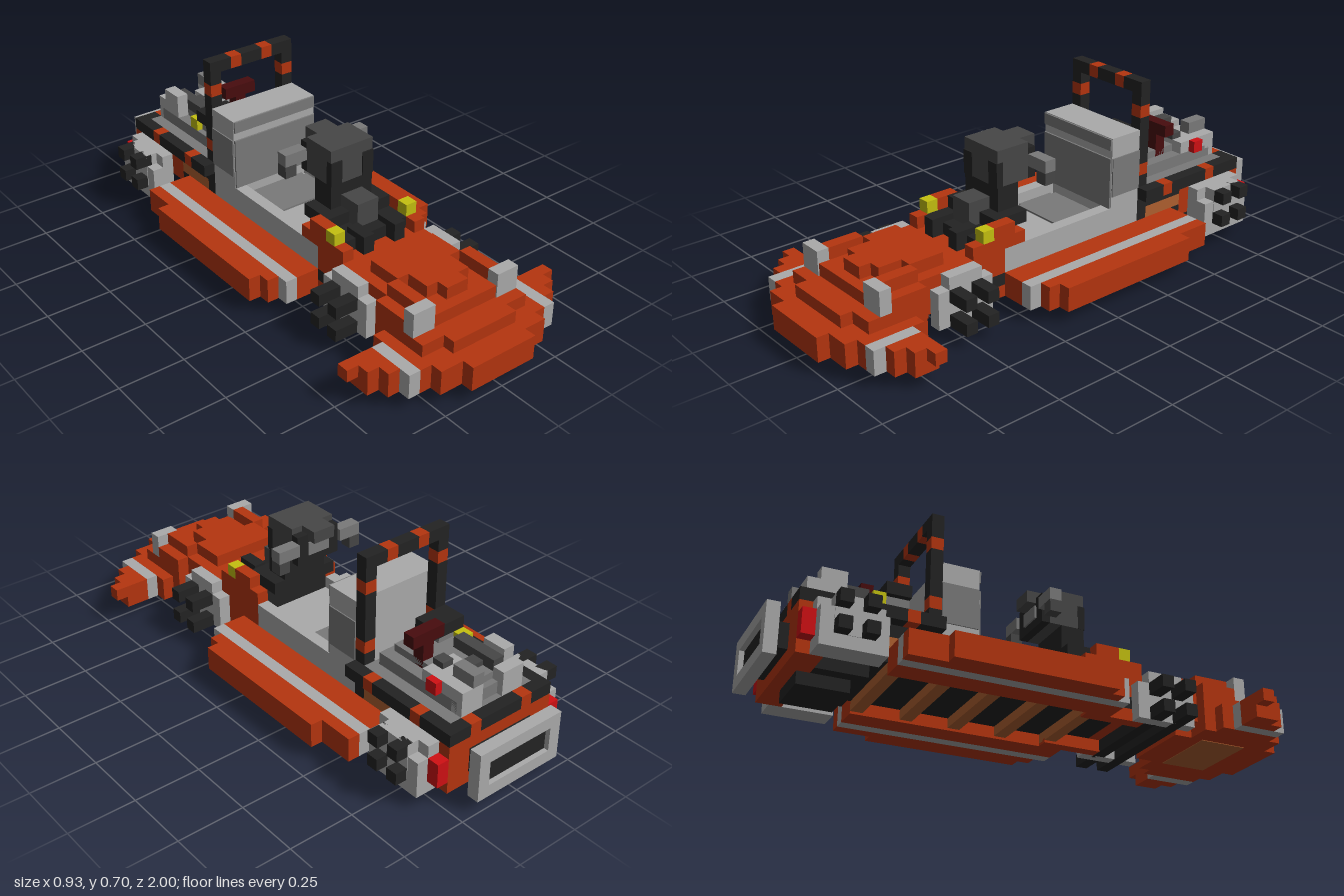
import * as THREE from 'three';

// One block is U wide. Coordinates are in blocks: x from the centre,
// y from the ground, k from the rear end (0) to the nose (43).
const U = 2 / 43;
const colours = {
  orange: 0xb5350f, lightGrey: 0xababab, midGrey: 0x7a7a7a, darkGrey: 0x474747,
  black: 0x232323, yellow: 0xc4c010, red: 0xd01014, darkRed: 0x480c0e, copper: 0xb06030,
};

export function createModel() {
  const model = new THREE.Group();
  model.name = 'hoverBuggy';
  const mats = {};
  for (const [name, color] of Object.entries(colours)) {
    mats[name] = new THREE.MeshStandardMaterial({ color });
    mats[name].name = name;
  }
  const box = (name, mat, x0, x1, y0, y1, k0, k1) => {
    const g = new THREE.BoxGeometry((x1 - x0) * U, (y1 - y0) * U, (k1 - k0) * U);
    const m = new THREE.Mesh(g, mats[mat]);
    m.name = name;
    m.position.set((x0 + x1) / 2 * U, (y0 + y1) / 2 * U, ((k0 + k1) / 2 - 21.5) * U);
    model.add(m);
  };
  // box centred on x = 0
  const mid = (name, mat, w, ...r) => box(name, mat, -w, w, ...r);
  // mirrored pair of boxes
  const pair = (name, mat, x0, x1, ...r) => {
    box(name + 'Left', mat, x0, x1, ...r);
    box(name + 'Right', mat, -x1, -x0, ...r);
  };

  // side pontoons with a grey stripe
  pair('pontoonInner', 'orange', 4, 6, 1, 3, 9, 27);
  pair('pontoonStripe', 'lightGrey', 6, 7, 1, 3, 9, 27);
  pair('pontoonOuter', 'orange', 7, 8, 1, 3, 9, 26);
  pair('pontoonEdge', 'orange', 8, 9, 1, 3, 12, 25);

  // underfloor with cross beams
  mid('underfloor', 'black', 4, 2, 3, 8, 29);
  for (let k = 9; k < 27; k += 4) mid('crossBeam', 'copper', 4, 1.2, 2, k, k + 1);

  // cockpit tub and seat
  mid('cockpitFloor', 'lightGrey', 3, 3, 4, 13, 25);
  pair('cockpitWall', 'lightGrey', 3, 4, 3, 5, 13, 27);
  mid('seatCushion', 'midGrey', 2.7, 4, 4.15, 16, 20);
  mid('seatCushionSides', 'midGrey', 3, 4, 4.1, 16.3, 19.7);
  mid('seatBack', 'lightGrey', 4, 4, 11, 13, 16);
  mid('seatPanelLower', 'midGrey', 3.95, 5, 9.3, 16, 16.15);
  mid('seatPanelUpper', 'midGrey', 3.95, 10, 10.95, 16, 16.15);
  pair('seatSidePanel', 'midGrey', 4, 4.1, 6, 9.3, 13, 15.95);

  // cowl, dashboard and steering console
  pair('cowlSide', 'orange', 3, 4, 1, 6, 25, 30);
  pair('cowlTop', 'orange', 3, 4, 6, 7, 26, 28);
  pair('markerLight', 'yellow', 3, 4, 6, 7, 28, 29);
  mid('dashboard', 'black', 3, 3, 6, 25, 29);
  mid('dashboardTop', 'black', 3, 6, 7, 24, 27);
  pair('dashboardLeg', 'black', 1, 2, 5, 6.5, 28, 30);
  mid('columnFront', 'darkGrey', 1, 6, 8, 26, 28);
  mid('column', 'black', 2, 7, 9, 24, 26);
  mid('console', 'darkGrey', 2, 9, 12, 23, 26);
  pair('consolePanel', 'black', 1, 2.02, 9, 11, 25.5, 26.1);
  mid('consoleBack', 'black', 2, 9, 11.5, 22.3, 23);
  mid('consoleScreen', 'midGrey', 1, 9.7, 10.8, 22.15, 22.3);
  mid('consoleHood', 'darkGrey', 1, 11, 12, 21.5, 23);
  pair('gripBar', 'midGrey', 2, 4, 10, 11, 22, 23);
  pair('gripEnd', 'darkGrey', 3, 4, 9, 10, 22, 23);

  // front hull and stepped hood
  mid('frontHull', 'orange', 4, 2, 5, 29, 36);
  mid('frontHullBase', 'orange', 3, 1, 2, 33.5, 36);
  mid('hoodMiddle', 'orange', 3, 4, 5, 35, 38.9);
  mid('hoodTop', 'orange', 3, 5, 6, 32, 35);
  mid('hoodStep', 'orange', 2, 5, 6, 35, 37);
  mid('hoodTip', 'orange', 1, 5, 6, 37, 38);
  mid('noseDeck', 'orange', 5, 3, 4, 35, 40);
  mid('noseDeckTip', 'orange', 3, 3, 4, 40, 41);
  pair('fender', 'orange', 3, 5, 4, 5, 35, 38);
  pair('fenderTop', 'orange', 3, 4, 5, 6, 35, 38);
  pair('headlight', 'lightGrey', 3, 5, 4, 6, 38, 39);

  // nose blade, swept back row by row
  [[35, 5], [36, 6], [37, 6], [38, 6], [39, 6], [40, 6], [41, 5], [42, 3]].forEach(([k, w]) =>
    mid('noseRow', 'orange', w, 1, 3, k, k + 1));
  pair('wingStripe', 'lightGrey', 6, 7, 1, 3, 37, 41);
  [[37, 9], [38, 9], [39, 8]].forEach(([k, w]) => pair('wingRow', 'orange', 7, w, 1, 3, k, k + 1));
  pair('wingTip', 'orange', 9, 10, 2, 3, 37, 38);
  mid('nosePlate', 'copper', 3, 0.95, 1, 36, 40);

  // front hubs with axle bars
  pair('frontHub', 'lightGrey', 4, 5, 1, 4, 29, 34);
  pair('frontHubTop', 'lightGrey', 4, 5, 4, 5, 30, 33);
  for (const k of [30, 32]) for (const y of [1, 3]) mid('frontAxle', 'black', 7, y, y + 1, k, k + 1);

  // rear body
  mid('rearBody', 'orange', 4, 2, 5, 2, 8);
  mid('rearPanel', 'orange', 5, 1, 5, 2, 4);
  mid('engineBay', 'copper', 4, 3, 4, 8, 12);
  mid('engineBayTop', 'black', 4, 4, 5, 8, 13);
  mid('skid', 'black', 2, 0, 1, 3, 7);
  mid('skidMount', 'black', 3, 1, 2, 4, 8);
  pair('tailLight', 'red', 5, 6, 2, 4, 2, 3);

  // rear hubs with lugs
  pair('rearHub', 'lightGrey', 5, 6, 1, 5, 3, 8);
  pair('rearHubFace', 'lightGrey', 6, 7, 2, 5, 4, 7);
  pair('rearHubRim', 'lightGrey', 6, 6.95, 1, 4, 3, 8);
  for (const k of [4, 6]) for (const y of [2, 4]) pair('rearLug', 'black', 6.5, 8, y, y + 1, k, k + 1);

  // exhaust frame on the tail
  mid('tailMount', 'black', 3, 2, 4, 0.4, 2);
  mid('tailFrameTop', 'lightGrey', 4, 4, 5, 0, 1);
  mid('tailFrameBottom', 'lightGrey', 4, 1, 2, 0, 1);
  pair('tailFrameSide', 'lightGrey', 3, 4, 2, 4, 0, 1);

  // striped engine rails
  for (let k = 2; k < 13; k++) pair('sideRail', k === 5 || k === 10 ? 'orange' : 'black', 4, 5, 5, 6, k, k + 1);
  for (let x = -4; x < 4; x++) box('rearRail', x === -3 || x === 2 ? 'orange' : 'black', x, x + 1, 5, 6, 2, 3);

  // striped roll bar
  for (let y = 3; y < 14; y++) pair('rollBarPost', y === 7 || y === 12 ? 'orange' : 'black', 3, 4, y, y + 1, 12, 13);
  for (let x = -4; x < 4; x++) box('rollBarTop', x === -2 || x === 1 ? 'orange' : 'black', x, x + 1, 14, 15, 12, 13);

  // engine with its blocks, filter and intake
  mid('engineBase', 'midGrey', 4, 5, 6, 3, 12);
  mid('engineBlock', 'midGrey', 3, 6, 7, 3.5, 11.5);
  box('cylinderBank', 'lightGrey', 0, 3, 7, 8, 4, 7);
  mid('engineCore', 'midGrey', 2, 7, 7.6, 4, 11);
  pair('engineCover', 'lightGrey', 1, 3, 6, 8, 3, 4);
  box('engineHead', 'lightGrey', -3, -2, 7, 9, 4, 6);
  box('enginePipe', 'darkGrey', -2, -1, 7, 8.5, 4, 8);
  box('engineBranch', 'darkGrey', -1, 0, 7, 8, 5, 6);
  box('engineCap', 'midGrey', 1, 2, 8, 9, 3, 5);
  box('engineKnob', 'darkGrey', 1, 2, 8, 8.5, 6, 7);
  box('engineValve', 'red', 3, 3.6, 7, 8, 5, 6);
  box('airFilter', 'black', -3, 0, 8, 9, 9, 11);
  box('filterMount', 'midGrey', -2.5, -0.5, 7, 8, 9, 11);
  box('fillerCap', 'yellow', -3, -2, 7, 8, 8, 9);
  box('intakePost', 'darkRed', 1, 2, 7, 9, 8, 9);
  box('intake', 'darkRed', 0, 3, 9, 10, 8, 9);

  return model;
}
